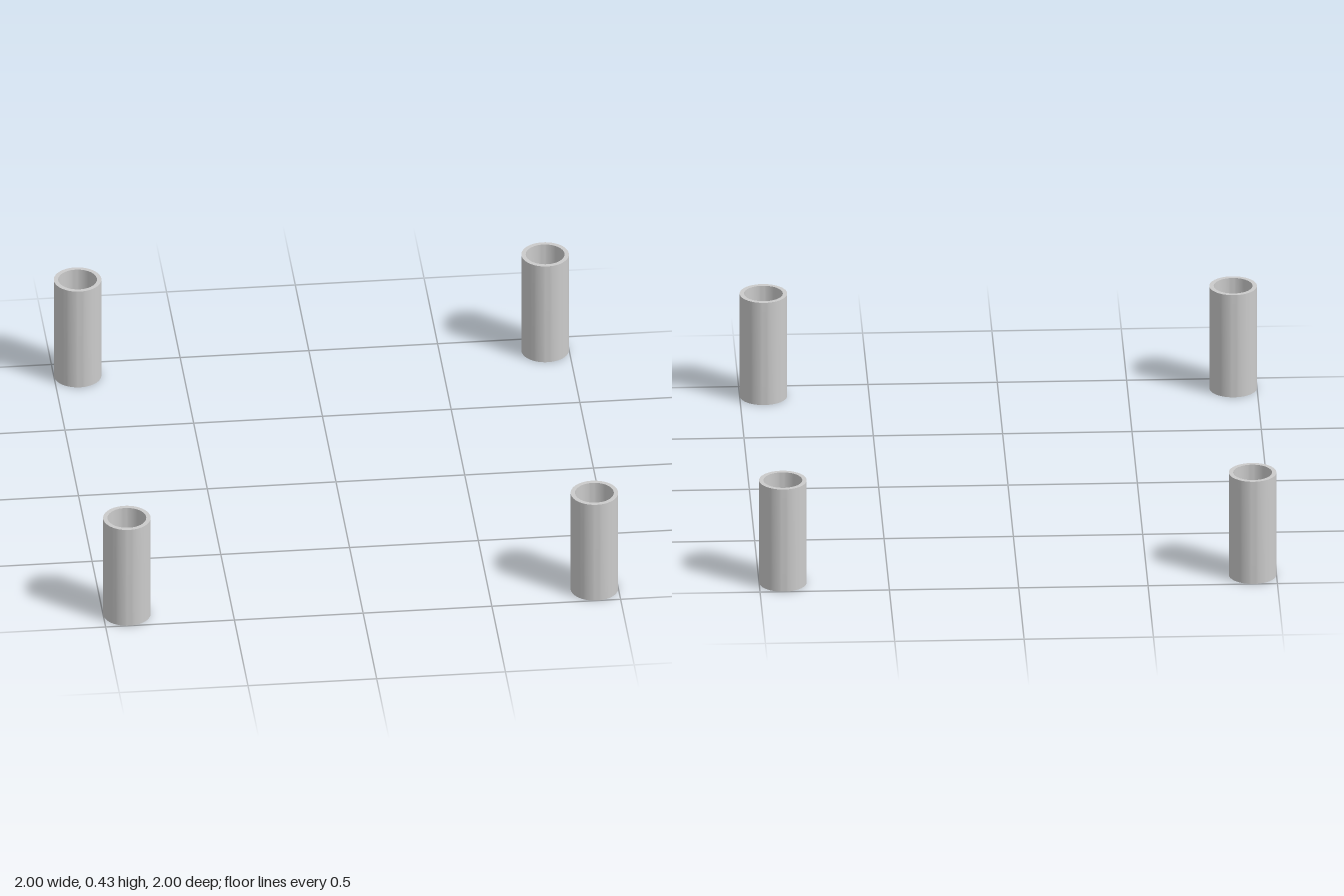
import * as THREE from 'three';
import { toCreasedNormals } from 'three/addons/utils/BufferGeometryUtils.js';

const HEIGHT = 0.43;
const OUTER = 0.092;
const INNER = 0.075;
const OFFSET = 1 - OUTER;

// Open pipe: the wall section, closed on itself, turned about the y axis
function pipeGeometry() {
  const section = [
    [OUTER, 0], [OUTER, HEIGHT], [INNER, HEIGHT], [INNER, 0], [OUTER, 0],
  ].map(([r, y]) => new THREE.Vector2(r, y));
  return toCreasedNormals(new THREE.LatheGeometry(section, 64), 0.6);
}

export function createModel() {
  const group = new THREE.Group();
  group.name = 'cornerSleeves';
  const material = new THREE.MeshStandardMaterial({ color: 0xcccccc });
  const geometry = pipeGeometry();

  // One sleeve at each corner of a square
  for (const [zName, z] of [['front', 1], ['back', -1]]) {
    for (const [xName, x] of [['Left', 1], ['Right', -1]]) {
      const sleeve = new THREE.Mesh(geometry, material);
      sleeve.name = `${zName}${xName}Sleeve`;
      sleeve.position.set(x * OFFSET, 0, z * OFFSET);
      group.add(sleeve);
    }
  }
  return group;
}
